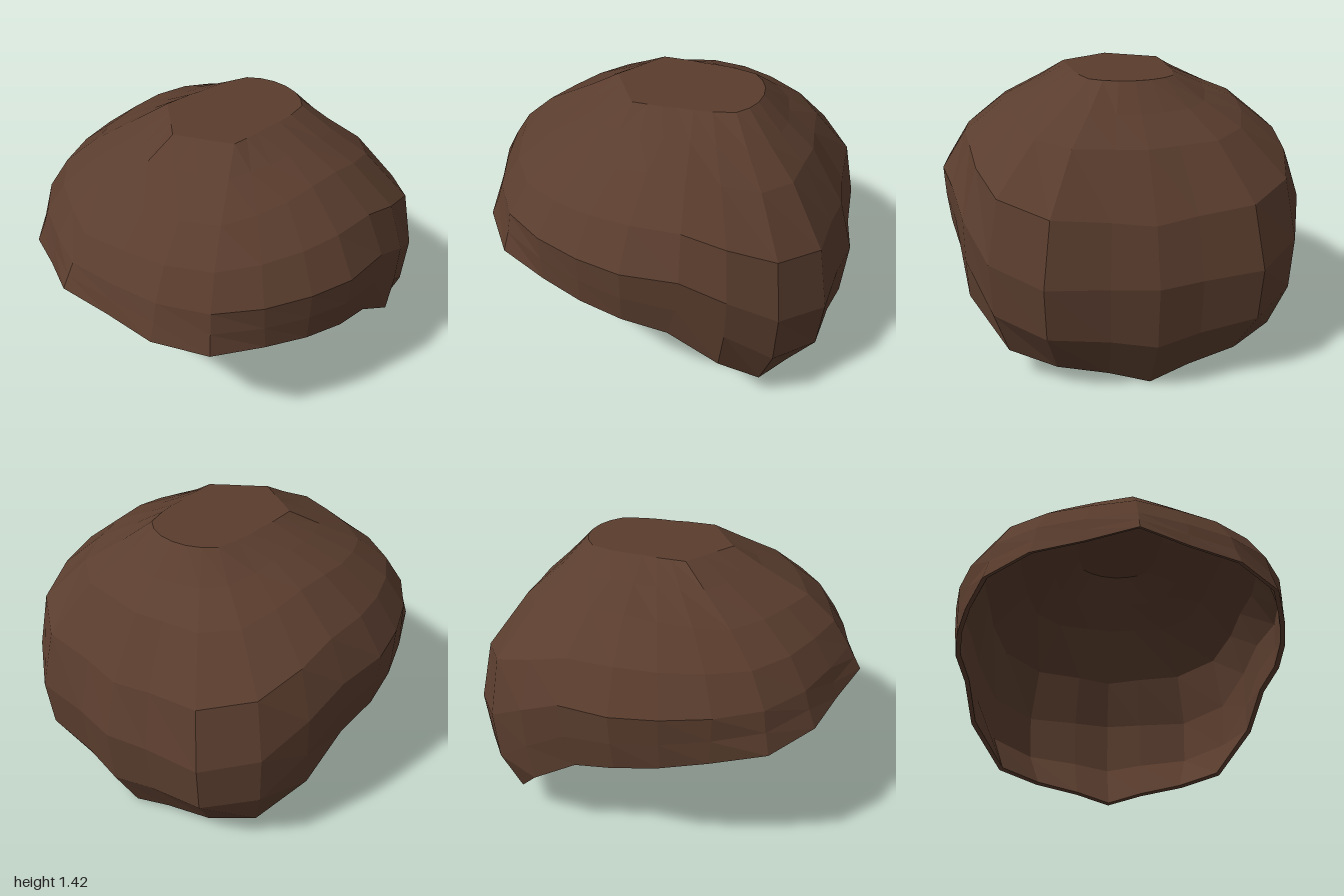
import * as THREE from 'three';

// Half outlines (x >= 0) running from the front centre round to the back centre, as [x, y, z]
const TOP_Y = 1.425;
const crownEdge = [
  [0, 0.30], [0.09, 0.24], [0.17, 0.19], [0.26, 0.13], [0.26, 0.05], [0.26, -0.02], [0.25, -0.10],
  [0.25, -0.18], [0.24, -0.27], [0.21, -0.38], [0.15, -0.43], [0.08, -0.46], [0, -0.47],
].map(([x, z]) => [x, TOP_Y, z]);
const widest = [
  [0, 0.96, 0.93], [0.24, 0.95, 0.87], [0.47, 0.94, 0.79], [0.68, 0.93, 0.64], [0.81, 0.925, 0.43],
  [0.89, 0.92, 0.20], [0.93, 0.915, -0.03], [0.89, 0.90, -0.30], [0.85, 0.80, -0.52],
  [0.75, 0.66, -0.75], [0.52, 0.60, -0.94], [0.22, 0.585, -0.96], [0, 0.58, -1],
];
const rim = [
  [0, 0.835, 1], [0.25, 0.795, 0.92], [0.5, 0.76, 0.855], [0.72, 0.715, 0.68], [0.82, 0.68, 0.42],
  [0.88, 0.645, 0.20], [0.905, 0.61, -0.02], [0.87, 0.55, -0.24], [0.84, 0.385, -0.49],
  [0.67, 0.16, -0.67], [0.45, 0.105, -0.78], [0.2, 0.055, -0.81], [0, 0, -0.84],
];

// Mirror a half outline into a full ring
const fullRing = (half) => [
  ...half,
  ...half.slice(1, -1).reverse().map(([x, y, z]) => [-x, y, z]),
];

// Read five key values (front, front corner, side, back corner, back) at column i
function keyed(keys, i) {
  const k = Math.min(Math.floor(i / 3), 3);
  return THREE.MathUtils.lerp(keys[k], keys[k + 1], i / 3 - k);
}

// Half outline between two others: s moves it sideways, h moves it in height
const between = (a, b, s, h) => a.map((p, i) => {
  const side = keyed(s, i);
  return [
    THREE.MathUtils.lerp(p[0], b[i][0], side),
    THREE.MathUtils.lerp(p[1], b[i][1], keyed(h, i)),
    THREE.MathUtils.lerp(p[2], b[i][2], side),
  ];
});

// Skin consecutive rings, optionally closing the first or last with a flat fan
function skin(name, rings, material, capFirst = false, capLast = false) {
  const pos = [];
  const tri = (a, b, c) => pos.push(...a, ...b, ...c);
  const n = rings[0].length;
  const last = rings[rings.length - 1];
  for (let c = 0; c < n; c++) {
    const d = (c + 1) % n;
    for (let r = 0; r < rings.length - 1; r++) {
      const up = rings[r], low = rings[r + 1];
      tri(up[c], low[c], low[d]);
      tri(up[c], low[d], up[d]);
    }
    if (capFirst) tri([0, rings[0][0][1], -0.1], rings[0][c], rings[0][d]);
    if (capLast) tri([0, last[0][1], -0.1], last[d], last[c]);
  }
  const geometry = new THREE.BufferGeometry();
  geometry.setAttribute('position', new THREE.Float32BufferAttribute(pos, 3));
  geometry.computeVertexNormals();
  const mesh = new THREE.Mesh(geometry, material);
  mesh.name = name;
  return mesh;
}

export function createModel() {
  const group = new THREE.Group();
  group.name = 'hairCap';
  const brown = new THREE.MeshStandardMaterial({ color: 0x5a3d2e, flatShading: true });
  brown.name = 'brown';

  // Outer shell: flat crown, sloping dome, widest line, straight fringe and tucked-in nape
  const outer = [
    crownEdge,
    between(crownEdge, widest, [0.25, 0.25, 0.25, 0.25, 0.25], [0.19, 0.18, 0.15, 0.15, 0.16]),
    between(crownEdge, widest, [0.63, 0.58, 0.52, 0.54, 0.51], [0.45, 0.41, 0.30, 0.30, 0.31]),
    between(crownEdge, widest, [0.86, 0.84, 0.82, 0.90, 0.85], [0.72, 0.68, 0.62, 0.60, 0.67]),
    widest,
    between(widest, rim, [0.5, 0.4, 0.3, 0.14, 0.14], [0.5, 0.5, 0.5, 0.53, 0.53]),
    rim,
  ].map(fullRing);
  group.add(skin('outerShell', outer, brown, true));

  // Lining: the same rings drawn inward and lowered, staying level at the rim
  const inner = outer.map((ring, r) => {
    const drop = r === outer.length - 1 ? -0.01 : 0.025;
    return ring.map(([x, y, z]) => [x * 0.972, y - drop, z * 0.972]);
  }).reverse();
  group.add(skin('lining', inner, brown, false, true));

  // Narrow lip joining shell and lining
  group.add(skin('rimLip', [outer[outer.length - 1], inner[0]], brown));
  return group;
}
